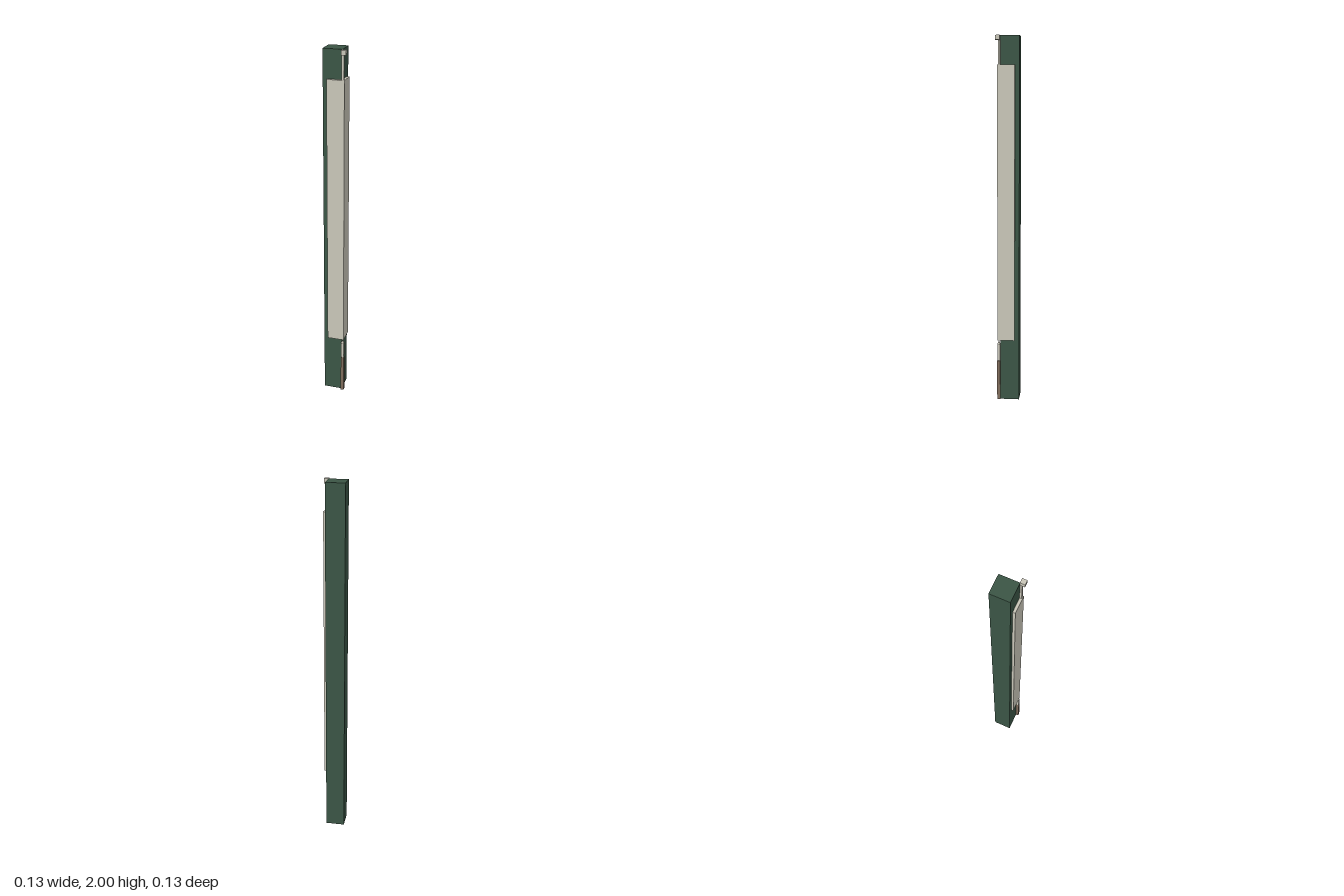
import * as THREE from 'three';

const mat = (name, color) => {
  const m = new THREE.MeshStandardMaterial({ color });
  m.name = name;
  return m;
};

export function createModel() {
  const group = new THREE.Group();
  const green = mat('dark green', 0x3b5545);
  const cream = mat('cream', 0xc9c6b8);
  const brown = mat('brown', 0x7f6c5b);

  // Box given by its lower and upper corners
  const box = (name, material, [x0, y0, z0], [x1, y1, z1]) => {
    const mesh = new THREE.Mesh(new THREE.BoxGeometry(x1 - x0, y1 - y0, z1 - z0), material);
    mesh.position.set((x0 + x1) / 2, (y0 + y1) / 2, (z0 + z1) / 2);
    mesh.name = name;
    group.add(mesh);
    return mesh;
  };

  // Square post
  box('post', green, [-0.065, 0, -0.065], [0.039, 2, 0.039]);

  // L-shaped corner guard wrapping the front and left faces
  const guard = new THREE.Shape([
    [-0.041, -0.053], [0.053, -0.053], [0.053, 0.041],
    [0.039, 0.041], [0.039, -0.039], [-0.041, -0.039],
  ].map(([x, y]) => new THREE.Vector2(x, y)));
  const guardGeometry = new THREE.ExtrudeGeometry(guard, { depth: 1.505, bevelEnabled: false });
  guardGeometry.rotateX(-Math.PI / 2);
  const guardMesh = new THREE.Mesh(guardGeometry, cream);
  guardMesh.position.y = 0.343;
  guardMesh.name = 'cornerGuard';
  group.add(guardMesh);

  // Thin rod and square cap above the guard
  box('upperRod', cream, [0.037, 1.84, 0.037], [0.049, 1.978, 0.049]);
  box('rodCap', cream, [0.038, 1.975, 0.038], [0.063, 2, 0.063]);

  // Lower rod: brown foot, cream upper part with a tapered tip
  box('lowerRodFoot', brown, [0.038, 0.003, 0.038], [0.055, 0.226, 0.055]);
  box('lowerRod', cream, [0.038, 0.226, 0.038], [0.054, 0.32, 0.054]);
  const tipGeometry = new THREE.CylinderGeometry(0.006, 0.0113, 0.012, 4).rotateY(Math.PI / 4);
  const tip = new THREE.Mesh(tipGeometry, cream);
  tip.position.set(0.046, 0.326, 0.046);
  tip.name = 'lowerRodTip';
  group.add(tip);

  return group;
}
